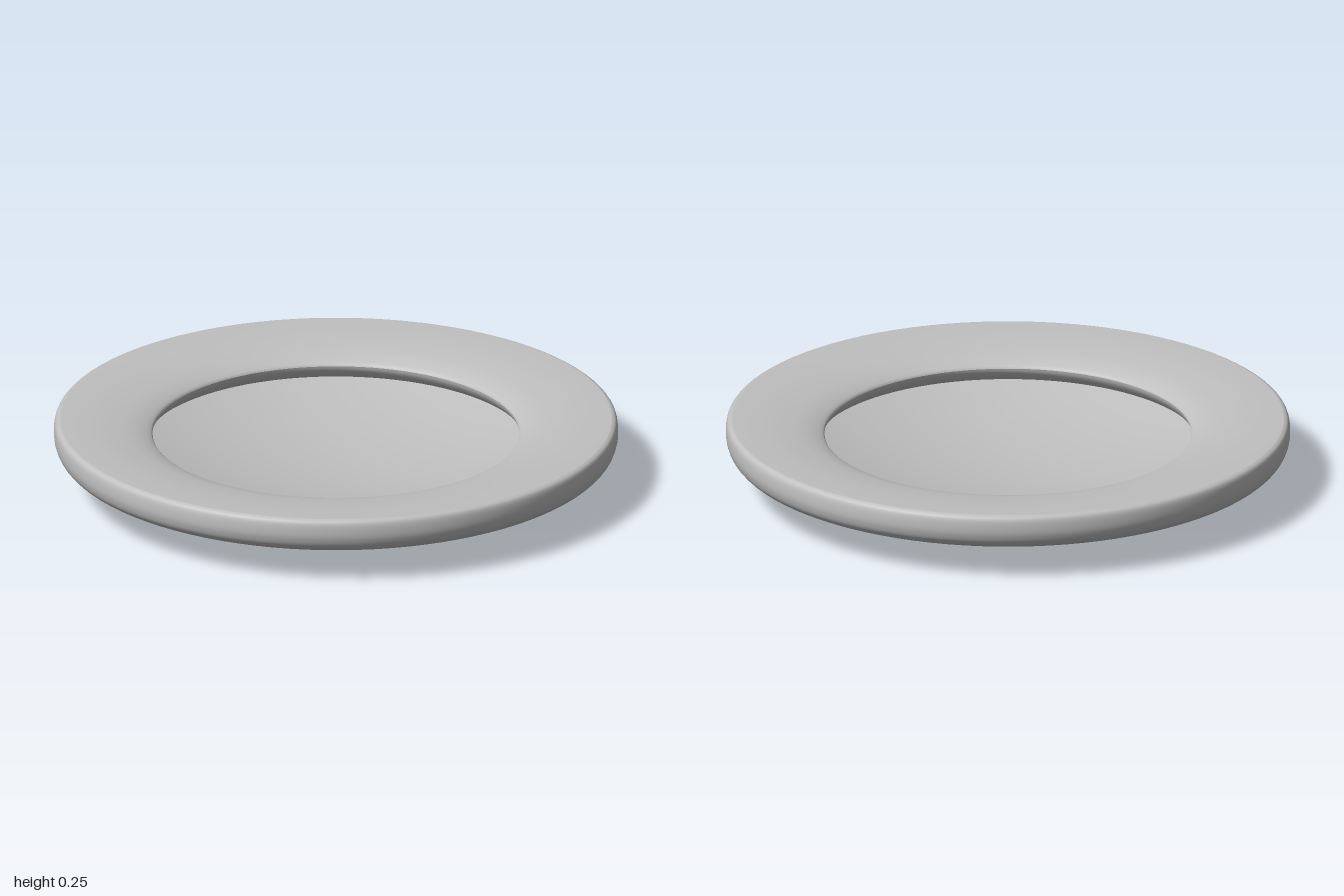
import * as THREE from 'three';

const SEGMENTS = 96;

// Smooth curve through a few [radius, height] points
function smooth(points, count) {
  const curve = new THREE.SplineCurve(points.map(([r, y]) => new THREE.Vector2(r, y)));
  return curve.getPoints(count);
}

export function createModel() {
  const plate = new THREE.Group();
  plate.name = 'plate';
  const ceramic = new THREE.MeshStandardMaterial({ color: 0xbfbfbf });
  ceramic.name = 'grey ceramic';

  // Each band is its own lathe, so the edges between bands stay crisp
  function addBand(name, profile) {
    const mesh = new THREE.Mesh(new THREE.LatheGeometry(profile, SEGMENTS), ceramic);
    mesh.name = name;
    plate.add(mesh);
  }

  // Flat base
  addBand('base', [new THREE.Vector2(0, 0), new THREE.Vector2(0.44, 0)]);

  // Low foot, sloping underside, upright outer edge, and a nearly level rim
  // that rolls over its inner lip
  addBand('undersideAndRim', smooth([
    [0.44, 0], [0.455, 0.01], [0.6, 0.038], [0.74, 0.067], [0.88, 0.099],
    [0.95, 0.121], [0.983, 0.145], [0.997, 0.175], [1, 0.205], [0.996, 0.235],
    [0.984, 0.248], [0.96, 0.25], [0.85, 0.245], [0.76, 0.234], [0.71, 0.224],
    [0.675, 0.212], [0.656, 0.202], [0.65, 0.194],
  ], 130));

  // Wall undercut beneath the lip
  addBand('undercutWall', smooth([[0.65, 0.194], [0.655, 0.178], [0.67, 0.157], [0.69, 0.14]], 12));

  // Concave well, reaching a little way under the lip
  const well = [];
  for (let i = 0; i <= 24; i++) {
    const t = 1 - i / 24;
    well.push(new THREE.Vector2(0.69 * t, 0.04 + 0.1 * t * t));
  }
  addBand('well', well);

  return plate;
}
